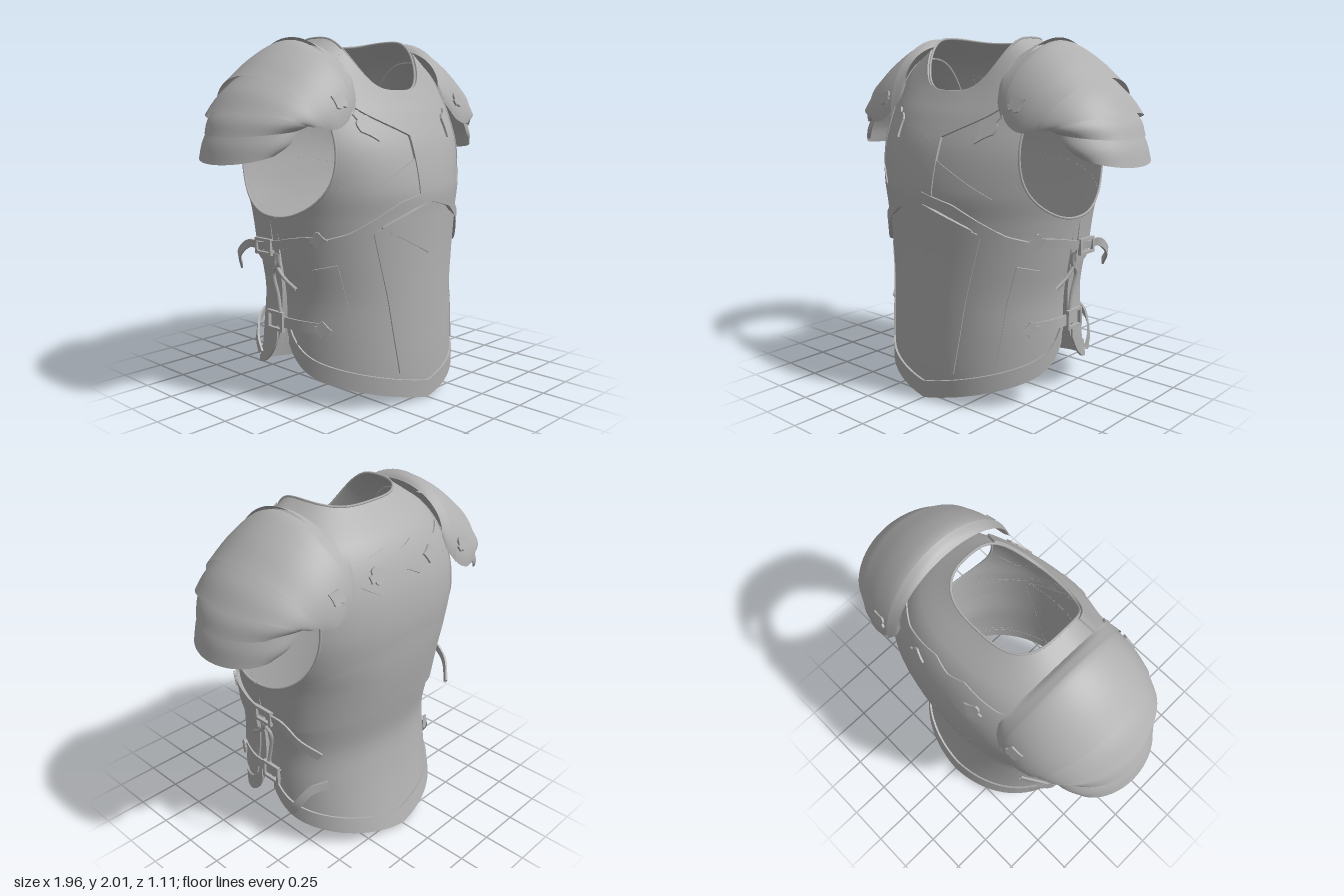
import * as THREE from 'three';
import { toCreasedNormals } from 'three/addons/utils/BufferGeometryUtils.js';

const V = (x, y, z) => new THREE.Vector3(x, y, z);
const { lerp, clamp } = THREE.MathUtils;
const spow = (v, p) => Math.sign(v) * Math.abs(v) ** p;
const steel = new THREE.MeshStandardMaterial({ color: 0xb0b0b0, side: THREE.DoubleSide });
steel.name = 'grey armour';

// Torso rings: level, half width, front depth, back depth, y at front, side, back, squareness of front, back
const RINGS = [
  [0, .58, .54, .545, 0, 0, 0, 2, 2.3], [.2, .58, .545, .495, .2, .2, .2, 2, 2.3],
  [.4, .58, .54, .455, .4, .4, .4, 2, 2.3], [.6, .575, .535, .435, .6, .6, .6, 2, 2.3],
  [.8, .60, .53, .465, .8, .8, .8, 2, 2.3], [1.04, .635, .53, .51, 1.04, 1.04, 1.04, 2, 2.3],
  [1.2, .67, .53, .53, 1.19, 1.2, 1.2, 2, 2.4], [1.4, .70, .48, .54, 1.4, 1.4, 1.4, 2.05, 2.4],
  [1.6, .66, .405, .51, 1.56, 1.62, 1.6, 2.1, 2.4], [1.8, .52, .35, .42, 1.65, 1.84, 1.8, 2.3, 2.5],
  [2, .30, .315, .24, 1.71, 2, 1.97, 2.6, 2.8]];

function ring(k) {
  const last = RINGS.length - 1;
  let i = 0;
  while (i < last - 1 && k > RINGS[i + 1][0]) i++;
  const [p, a, b, n] = [Math.max(i - 1, 0), i, i + 1, Math.min(i + 2, last)].map(j => RINGS[j]);
  const h = b[0] - a[0], t = clamp((k - a[0]) / h, 0, 1), t2 = t * t, t3 = t2 * t;
  return a.map((v, c) => v * (2 * t3 - 3 * t2 + 1) + b[c] * (3 * t2 - 2 * t3)
    + h * (b[c] - p[c]) / (b[0] - p[0]) * (t3 - 2 * t2 + t) + h * (n[c] - v) / (n[0] - a[0]) * (t3 - t2));
}

// Point on the torso at angle a (0 = centre line), level k; side is 1 front, -1 back
function base(a, k, side) {
  const [, W, F, B, yF, yS, yB, nF, nB] = ring(k);
  const [D, y0, n] = side > 0 ? [F, yF, nF] : [B, yB, nB];
  return V(W * spow(Math.sin(a), 2 / n), y0 + (yS - y0) * Math.abs(Math.sin(a)) ** 2.8,
    side * D * spow(Math.cos(a), 2 / n));
}
function normalAt(a, k, side) {
  const e = .02, da = base(a + e, k, side).sub(base(a - e, k, side));
  const dk = base(a, Math.min(k + e, 2), side).sub(base(a, Math.max(k - e, 0), side));
  return da.cross(dk).multiplyScalar(side).normalize();
}
const surf = (a, k, side, off = 0) => base(a, k, side).addScaledVector(normalAt(a, k, side), off);

// Angle and level of the torso point seen at x, y
function locate([x, y], side) {
  let lo = 0, hi = 2, a = 0, k = 0;
  for (let i = 0; i < 30; i++) {
    k = (lo + hi) / 2;
    const r = ring(k);
    a = Math.min(Math.asin(Math.min(x / r[1], 1) ** (r[side > 0 ? 7 : 8] / 2)), 1.5);
    if (base(a, k, side).y < y) lo = k; else hi = k;
  }
  return [a, k];
}
// Angle, level and side of the flank point at z, y
function flank(z, y) {
  const r = ring(y), [D, n] = z < 0 ? [r[3], r[8]] : [r[2], r[7]];
  return [Math.acos((Math.abs(z) / D) ** (n / 2)), y, z < 0 ? -1 : 1];
}

function mesh(name, geometry, parent) {
  const m = new THREE.Mesh(geometry, steel);
  m.name = name;
  parent.add(m);
  return m;
}
function grid(fn, cols, rows, crease) {
  const pos = [], idx = [];
  for (let j = 0; j <= rows; j++) for (let i = 0; i <= cols; i++) {
    pos.push(...fn(i, j).toArray());
    if (i < cols && j < rows) {
      const q = j * (cols + 1) + i, r = q + cols + 1;
      idx.push(q, q + 1, r + 1, q, r + 1, r);
    }
  }
  const g = new THREE.BufferGeometry();
  g.setAttribute('position', new THREE.Float32BufferAttribute(pos, 3));
  g.setIndex(idx);
  g.computeVertexNormals();
  return crease ? toCreasedNormals(g, .6) : g;
}

// Raised plate lying on the torso; f(s, t) gives [angle, level], its border drops to the surface
function plate(name, f, side, off, parent, offTop = off, cols = 40, rows = 12) {
  return mesh(name, grid((i, j) => {
    const s = clamp((i - 1) / cols, 0, 1), t = clamp((j - 1) / rows, 0, 1);
    const rim = i === 0 || j === 0 || i === cols + 2 || j === rows + 2;
    const [a, k] = f(s, t);
    return surf(a, k, side, rim ? -.001 : lerp(off, offTop, t));
  }, cols + 2, rows + 2, true), parent);
}
function polyline(points, side) {
  const q = points.map(p => locate(p, side));
  return u => {
    const i = Math.min(Math.floor(u * (q.length - 1)), q.length - 2), w = u * (q.length - 1) - i;
    return [lerp(q[i][0], q[i + 1][0], w), lerp(q[i][1], q[i + 1][1], w)];
  };
}
// Plate between two outlines given for +x: one plate across the centre, or a mirrored pair
function outlined(name, top, bottom, side, off, parent, { pair = false, offTop = off } = {}) {
  const T = polyline(top, side), B = polyline(bottom, side);
  const at = (u, t, sign) => [sign * lerp(B(u)[0], T(u)[0], t), lerp(B(u)[1], T(u)[1], t)];
  if (pair) for (const s of [1, -1]) plate(name, (u, t) => at(u, t, s), side, off, parent, offTop);
  else plate(name, (u, t) => at(Math.abs(2 * u - 1), t, u < .5 ? -1 : 1), side, off, parent, offTop, 60);
}

const EDGE = 1.53, ARM0 = 1.04, ARM1 = 1.85;
const hem = t => .2 * t + .2 * t ** 12;
function edgeAngle(k) {
  const u = (2 * k - ARM0 - ARM1) / (ARM1 - ARM0);
  const full = lerp(EDGE, Math.PI / 2, clamp((k - .45) / .5, 0, 1));
  return full - .77 * Math.sqrt(Math.max(0, 1 - u * u));
}
const armLevel = s => ARM0 + (ARM1 - ARM0) * (1 - Math.cos(Math.PI * s)) / 2;

function shell(name, side, parent) {
  mesh(name, grid((i, j) => {
    const t = i / 32 - 1;
    const k = j <= 24 ? lerp(hem(Math.abs(t)), ARM0, j / 24) : j <= 52 ? armLevel((j - 24) / 28) : lerp(ARM1, 2, (j - 52) / 6);
    return surf(t * edgeAngle(k), k, side);
  }, 64, 58), parent);
}
const tube = (name, pts, r, closed, parent) =>
  mesh(name, new THREE.TubeGeometry(new THREE.CatmullRomCurve3(pts, closed), 64, r, 6, closed), parent);

// Flat strap through points with outward normals
function strap(name, points, normals, width, parent) {
  const c = new THREE.CatmullRomCurve3(points), nc = new THREE.CatmullRomCurve3(normals);
  mesh(name, grid((i, j) => {
    const n = nc.getPoint(j / 20).normalize(), w = c.getTangent(j / 20).cross(n).normalize();
    const sx = i === 0 || i === 3 || i === 4 ? -1 : 1, sn = i < 2 || i === 4 ? 1 : -1;
    return c.getPoint(j / 20).addScaledVector(w, sx * width / 2).addScaledVector(n, sn * .006);
  }, 4, 20, true), parent);
}
const flankStrap = (name, list, width, parent) => strap(name,
  list.map(([z, y, off]) => surf(...flank(z, y), off)), list.map(([z, y]) => normalAt(...flank(z, y))), width, parent);

// Set a flat part on a surface: local z along the normal, then rolled
function place(m, p, n, roll = 0) {
  const right = V(0, 1, 0).cross(n).normalize();
  m.quaternion.setFromRotationMatrix(new THREE.Matrix4().makeBasis(right, n.clone().cross(right), n));
  m.rotateZ(roll);
  m.position.copy(p);
}
function leaf(name, w, h, p, n, roll, parent) {
  const s = new THREE.Shape();
  s.moveTo(0, h / 2);
  s.quadraticCurveTo(w * .15, h * .25, w / 2, 0);
  s.quadraticCurveTo(w * .5, -h * .3, w * .2, -h * .3);
  s.lineTo(w * .2, -h / 2);
  s.lineTo(-w * .2, -h / 2);
  s.lineTo(-w * .2, -h * .3);
  s.quadraticCurveTo(-w * .5, -h * .3, -w / 2, 0);
  s.quadraticCurveTo(-w * .15, h * .25, 0, h / 2);
  place(mesh(name, new THREE.ExtrudeGeometry(s, { depth: .012, bevelEnabled: false }), parent), p, n, roll);
}
function buckle(w, h, p, n, parent) {
  const rect = (o, x, y) => { o.moveTo(-x, -y); o.lineTo(x, -y); o.lineTo(x, y); o.lineTo(-x, y); o.closePath(); return o; };
  const s = rect(new THREE.Shape(), w / 2, h / 2);
  s.holes.push(rect(new THREE.Path(), w / 2 - .016, h / 2 - .016));
  place(mesh('buckle', new THREE.ExtrudeGeometry(s, { depth: .02, bevelEnabled: false }), parent), p, n);
}

// Shoulder lame: arches over the arm; stations are apex x, y, end x, y, half depth
function lame(name, stations, parent, zc = -.065) {
  const cols = 40, rows = 12;
  mesh(name, grid((i, j) => {
    const f = (i / cols - .5) * Math.PI, c = Math.max(Math.cos(f), 0) ** 1.15;
    const pts = stations.map(([ax, ay, ex, ey, hz]) => V(lerp(ex, ax, c), lerp(ey, ay, c), zc + hz * Math.sin(f)));
    return new THREE.CatmullRomCurve3(pts).getPoint(j / rows);
  }, cols, rows), parent);
}

export function createModel() {
  const model = new THREE.Group();
  model.name = 'breastplate';

  // Torso shells, hem bands and rims
  for (const side of [1, -1]) {
    const label = side > 0 ? 'front' : 'back';
    shell(label + 'Shell', side, model);
    plate(label + 'HemBand', (s, t) => {
      const u = (2 * s - 1) * .97;
      return [u * EDGE, hem(Math.abs(u)) + .1 * t];
    }, side, .012, model, .012, 70, 4);
  }
  const around = [...Array(48).keys()].map(i => i / 48 * Math.PI * 2);
  tube('neckRim', around.map(q => base(Math.cos(q) < 0 ? Math.PI - q : q, 2, Math.cos(q) < 0 ? -1 : 1)), .007, true, model);

  // Front plates
  outlined('ribBand', [[0, 1.18], [.2, 1.13], [.33, 1.05], [.45, .97], [.7, .87]],
    [[0, 1.12], [.2, 1.07], [.32, .99], [.45, .83], [.7, .72]], 1, .022, model);
  outlined('bellyDiamond', [[0, 1.12], [.3, 1.0]], [[0, .83], [.3, .99]], 1, .022, model);
  outlined('bellyPlate', [[0, 1.1], [.34, .97]], [[0, .11], [.2, .18]], 1, .012, model);
  outlined('flankPlate', [[.48, .8], [.7, .73]], [[.4, .23], [.57, .34]], 1, .01, model, { pair: true });
  outlined('collarYoke', [[0, 1.71], [.22, 1.79], [.29, 1.93]], [[0, 1.44], [.38, 1.64], [.42, 1.75]], 1, .012, model);
  outlined('sternumStrip', [[0, 1.45], [.07, 1.47]], [[0, 1.17], [.07, 1.16]], 1, .015, model);
  outlined('breastPanel', [[.07, 1.35], [.4, 1.17], [.5, 1.26]], [[.07, 1.15], [.38, 1.0], [.56, .97]], 1, .008, model, { pair: true });

  // Back plates
  outlined('backOverlap', [[0, 1.3], [.3, 1.25], [.7, 1.03]], [[0, .87], [.3, .83], [.7, .76]], -1, .014, model, { offTop: 0 });
  outlined('backYoke', [[0, 1.76], [.1, 1.79], [.2, 1.77], [.32, 1.75], [.42, 1.78]],
    [[0, 1.66], [.1, 1.61], [.2, 1.58], [.32, 1.65], [.42, 1.62]], -1, .008, model);

  // Shoulder and flank fittings, built at +x and mirrored
  for (const sign of [1, -1]) {
    const half = new THREE.Group();
    half.name = sign > 0 ? 'leftFittings' : 'rightFittings';
    half.scale.x = sign;
    model.add(half);

    lame('shoulderRim', [[.395, 1.965, .355, 1.74, .38], [.42, 1.985, .37, 1.66, .41], [.46, 2.0, .42, 1.58, .44]], half);
    lame('shoulderCap', [[.42, 1.96, .38, 1.66, .41], [.47, 1.985, .45, 1.56, .435], [.62, 1.915, .53, 1.52, .44], [.78, 1.79, .61, 1.52, .42]], half);
    lame('shoulderLame1', [[.72, 1.80, .58, 1.55, .41], [.83, 1.71, .64, 1.53, .40], [.91, 1.61, .69, 1.54, .375]], half);
    lame('shoulderLame2', [[.84, 1.64, .65, 1.55, .38], [.91, 1.56, .68, 1.53, .36], [.95, 1.48, .71, 1.51, .32]], half);
    lame('shoulderLame3', [[.90, 1.52, .68, 1.54, .335], [.95, 1.43, .74, 1.45, .325], [.98, 1.34, .81, 1.39, .28]], half, -.075);

    // Shoulder straps and leaf ornaments
    const [a, k] = locate([.33, 1.52], 1);
    leaf('shoulderLeaf', .1, .2, surf(a, k, 1, .008), normalAt(a, k, 1), 2.55, half);
    leaf('capLeafFront', .09, .1, V(.5, 1.66, .345), V(.15, .35, .9).normalize(), -1.1, half);
    leaf('capLeafBack', .09, .1, V(.5, 1.66, -.475), V(.15, .35, -.9).normalize(), 1.1, half);
    const [ab, kb] = locate([.2, 1.68], -1);
    leaf('yokeLeaf', .1, .11, surf(ab, kb, -1, .006), normalAt(ab, kb, -1), -1.3, half);

    // Armhole rim
    const rim = [...Array(25).keys()].map(i => armLevel(i / 24));
    tube('armholeRim', [...rim.map(q => base(edgeAngle(q), q, 1)),
      ...rim.reverse().map(q => base(edgeAngle(q), q, -1))], .007, true, half);

    // Side straps, buckles and laces
    flankStrap('upperStrap', [[.26, .935, .026], [.13, .92, .026], [.01, .895, .035], [-.12, .88, .035]], .05, half);
    flankStrap('upperTail', [[-.08, .88, .045], [-.18, .885, .075], [-.25, .82, .12], [-.31, .73, .13]], .045, half);
    flankStrap('lowerStrap', [[.26, .445, .016], [.1, .45, .016], [-.11, .45, .016]], .06, half);
    flankStrap('lowerTail', [[-.34, .42, .012], [-.27, .39, .03], [-.22, .30, .045], [-.18, .23, .04]], .05, half);
    for (const [z, y] of [[.25, .94], [.25, .445]]) {
      const f = flank(z, y);
      leaf('strapLeaf', .09, .1, surf(...f, .022), normalAt(...f), Math.PI / 2, half);
    }
    buckle(.13, .09, surf(...flank(-.07, .88), .04), V(1, 0, 0), half);
    buckle(.13, .11, surf(...flank(-.05, .45), .014), V(1, 0, 0), half);
    const lace = list => tube('lace', list.map(([z, y]) => surf(...flank(z, y), .015)), .011, false, half);
    lace([[.1, .65], [.02, .71], [-.03, .78], [-.02, .84]]);
    lace([[-.02, .5], [-.04, .6], [-.06, .72], [-.01, .78], [0, .84]]);
  }
  return model;
}
